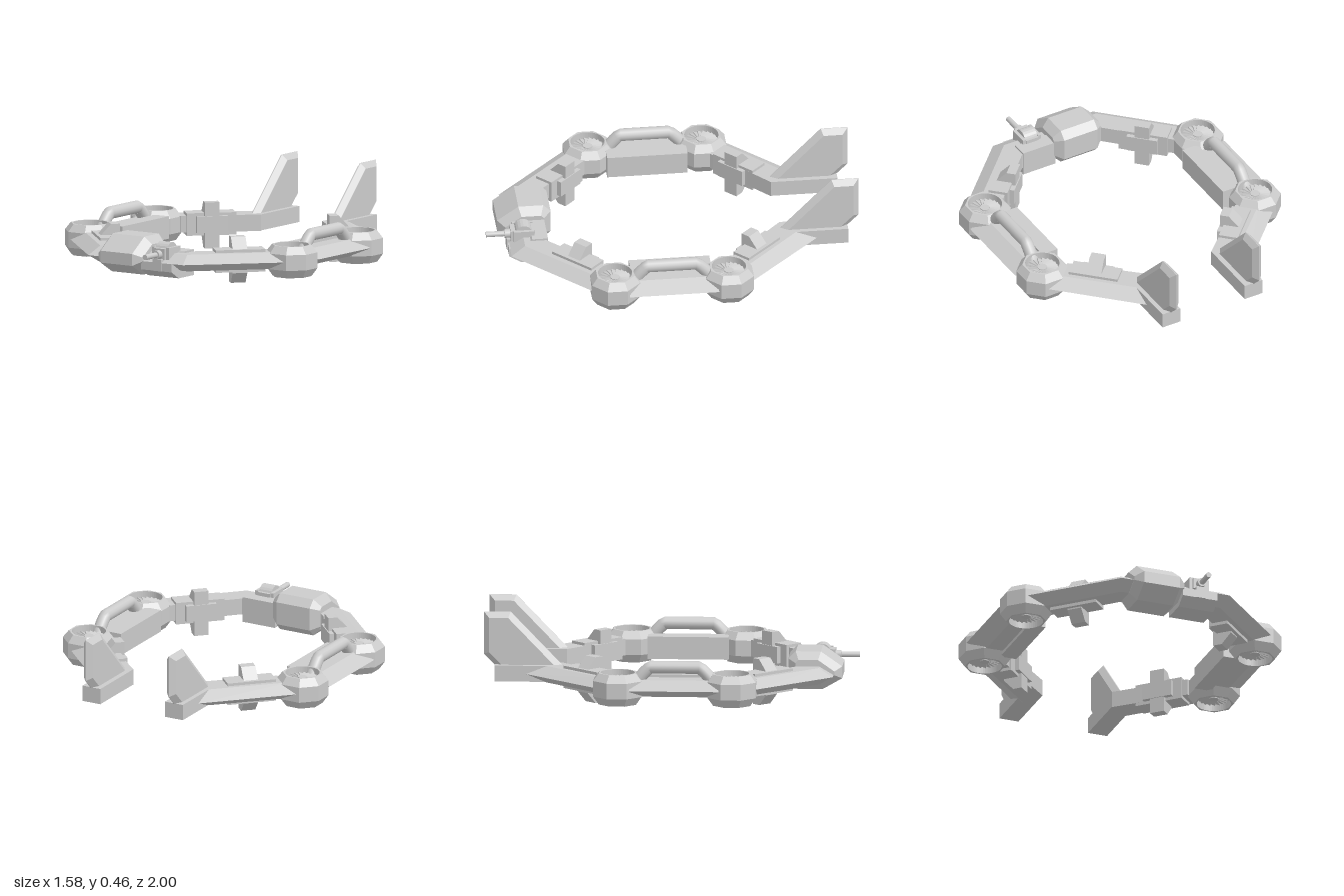
import * as THREE from 'three';
import { ConvexGeometry } from 'three/addons/geometries/ConvexGeometry.js';

const flat = new THREE.MeshStandardMaterial({ color: 0xcccccc, flatShading: true, side: THREE.DoubleSide });
const smooth = new THREE.MeshStandardMaterial({ color: 0xcccccc });

function add(parent, name, geometry, x = 0, y = 0, z = 0, material = flat) {
  const mesh = new THREE.Mesh(geometry, material);
  mesh.name = name;
  mesh.position.set(x, y, z);
  parent.add(mesh);
  return mesh;
}

function box(parent, name, x0, x1, y0, y1, z0, z1) {
  return add(parent, name, new THREE.BoxGeometry(x1 - x0, y1 - y0, z1 - z0),
    (x0 + x1) / 2, (y0 + y1) / 2, (z0 + z1) / 2);
}

const outline = (pts) => new THREE.Shape(pts.map(([a, b]) => new THREE.Vector2(a, b)));

// Side profile of [z, y] points, given a width along x and an optional chamfer
function profile(pts, width, chamferIn = 0, chamferSide = 0) {
  const geo = new THREE.ExtrudeGeometry(outline(pts), {
    depth: width - 2 * chamferSide, bevelEnabled: chamferIn > 0, bevelSegments: 1,
    bevelSize: chamferIn, bevelOffset: -chamferIn, bevelThickness: chamferSide,
  });
  geo.translate(0, 0, chamferSide - width / 2);
  return geo.rotateY(-Math.PI / 2);
}

// Ring beam: sharp outer ridge, flat top and bottom, upright inner wall.
// Each end is [ridgeX, ridgeZ, innerX, innerZ].
function beam(parent, name, ...ends) {
  const pts = [];
  for (const [rx, rz, ix, iz] of ends) {
    for (const [t, y] of [[0, 0.13], [0.38, 0.175], [1, 0.175], [1, 0.085], [0.38, 0.085]]) {
      pts.push(new THREE.Vector3(rx + (ix - rx) * t, y, rz + (iz - rz) * t));
    }
  }
  add(parent, name, new ConvexGeometry(pts));
}

// Chamfered octagonal pod with an open duct and two rows of fan blades
function liftPod(parent, x, z) {
  const pod = new THREE.Group();
  pod.name = 'liftPod';
  pod.position.set(x, 0, z);
  parent.add(pod);
  const k = 1 / Math.cos(Math.PI / 8);
  const wall = [[0.1, 0.04], [0.13, 0.085], [0.13, 0.17], [0.1, 0.21]];
  const shell = new THREE.LatheGeometry(wall.map(([r, y]) => new THREE.Vector2(r * k, y)), 8);
  add(pod, 'podShell', shell.rotateY(Math.PI / 8));

  const corners = [];
  for (let i = 0; i < 8; i++) {
    const a = (i + 0.5) * Math.PI / 4;
    corners.push([0.1 * k * Math.cos(a), 0.1 * k * Math.sin(a)]);
  }
  const ring = outline(corners);
  ring.holes.push(new THREE.Path().absarc(0, 0, 0.092, 0, Math.PI * 2, true));
  const duct = new THREE.ExtrudeGeometry(ring, { depth: 0.17, bevelEnabled: false, curveSegments: 24 });
  add(pod, 'duct', duct.rotateX(-Math.PI / 2), 0, 0.04, 0);

  add(pod, 'fanHub', new THREE.CylinderGeometry(0.026, 0.026, 0.12, 16), 0, 0.125, 0, smooth);
  for (const y of [0.075, 0.175]) {
    for (let i = 0; i < 20; i++) {
      const blade = new THREE.BoxGeometry(0.064, 0.005, 0.024);
      blade.rotateX(0.4).translate(0.053, 0, 0).rotateY(i * Math.PI / 10);
      add(pod, 'fanBlade', blade, 0, y, 0);
    }
  }
}

// Plates and wedge clamp; local +x runs from the beam's ridge to the inside
function clamp(parent, x, z) {
  const g = new THREE.Group();
  g.name = 'clamp';
  g.position.set(x, 0, z);
  g.rotation.y = Math.atan2(Math.sign(z), -Math.sign(x));
  parent.add(g);
  box(g, 'longPlate', 0.1, 0.205, 0.068, 0.19, -0.135, 0.135);
  box(g, 'innerPlate', 0.15, 0.23, 0.085, 0.175, -0.085, 0.085);
  const wedge = new THREE.ExtrudeGeometry(outline([
    [0.225, 0], [0.225, 0.25], [0.175, 0.25], [0.12, 0.19], [0.12, 0.06], [0.175, 0],
  ]), { depth: 0.08, bevelEnabled: false });
  add(g, 'clampWedge', wedge, 0, 0, -0.04);
}

function side(parent, s) {
  const g = new THREE.Group();
  g.name = s > 0 ? 'leftSide' : 'rightSide';
  parent.add(g);
  const end = (a, b, c, d) => [s * a, b, s * c, d];

  // Ring beams
  beam(g, 'rearBeam', end(0.31, -0.77, 0.2, -0.58), end(0.7, -0.38, 0.52, -0.285));
  beam(g, 'sideBeam', end(0.79, -0.19, 0.55, -0.145), end(0.79, 0.295, 0.55, 0.25));
  beam(g, 'frontBeam', end(0.7, 0.49, 0.53, 0.39), end(0.31, 0.88, 0.245, 0.68));
  const inner = s * 0.56;
  box(g, 'sidePlate', inner - 0.047, inner + 0.047, 0.068, 0.19, -0.165, 0.27);

  liftPod(g, s * 0.66, -0.255);
  liftPod(g, s * 0.66, 0.36);
  clamp(g, s * 0.54, -0.54);
  clamp(g, s * 0.545, 0.645);

  // Arched pipe between the pods
  const path = new THREE.CurvePath();
  const p = [[0.14, 0.265], [0.19, 0.245], [0.24, 0.185], [0.24, -0.08], [0.19, -0.14], [0.14, -0.16]]
    .map(([y, z]) => new THREE.Vector3(s * 0.66, y, z));
  path.add(new THREE.QuadraticBezierCurve3(p[0], p[1], p[2]));
  path.add(new THREE.LineCurve3(p[2], p[3]));
  path.add(new THREE.QuadraticBezierCurve3(p[3], p[4], p[5]));
  add(g, 'pipe', new THREE.TubeGeometry(path, 32, 0.034, 14), 0, 0, 0, smooth);

  // Tail boom and knife-edged fin
  const boom = [[0.2, -0.94], [0.31, -0.94], [0.31, -0.64], [0.2, -0.58]];
  const boomPts = boom.flatMap(([x, z]) => [0.088, 0.175].map((y) => new THREE.Vector3(s * x, y, z)));
  add(g, 'tailBoom', new ConvexGeometry(boomPts));
  add(g, 'tailFin', profile([
    [-0.57, 0.165], [-0.855, 0.46], [-1, 0.46], [-1, 0.23], [-0.935, 0.165], [-0.935, 0.1], [-0.6, 0.1],
  ], 0.056, 0.03, 0.026), s * 0.257);
}

export function createModel() {
  const model = new THREE.Group();
  model.name = 'ringCraft';
  side(model, 1);
  side(model, -1);
  beam(model, 'noseBeam', [-0.31, 0.88, -0.245, 0.68], [0.31, 0.88, 0.245, 0.68]);

  // Off-centre cabin with chamfered ends
  add(model, 'cabin', profile([
    [0.675, 0.25], [0.81, 0.25], [0.925, 0.17], [0.925, 0.105],
    [0.82, 0.045], [0.675, 0.045], [0.635, 0.085], [0.635, 0.21],
  ], 0.29, 0.04, 0.042), -0.095);

  // Gun bay beside the cabin
  add(model, 'gunBay', profile([
    [0.675, 0.185], [0.76, 0.185], [0.79, 0.15], [0.885, 0.13], [0.885, 0.085], [0.82, 0.045], [0.675, 0.045],
  ], 0.2, 0, 0), 0.14);

  // Gun turret
  const turret = new THREE.Group();
  turret.name = 'turret';
  turret.position.set(0.145, 0, 0);
  model.add(turret);
  box(turret, 'turretFoot', -0.028, 0.028, 0.085, 0.15, 0.76, 0.89);
  box(turret, 'turretBlock', -0.038, 0.038, 0.145, 0.205, 0.74, 0.87);
  const drum = new THREE.CylinderGeometry(0.048, 0.048, 0.076, 20).rotateZ(Math.PI / 2);
  add(turret, 'turretDrum', drum, 0, 0.187, 0.8);
  for (const s of [-1, 1]) box(turret, 'turretCheek', s * 0.047 - 0.009, s * 0.047 + 0.009, 0.145, 0.21, 0.745, 0.855);
  const barrel = (r, z0, z1) => add(turret, 'barrel',
    new THREE.CylinderGeometry(r, r, z1 - z0, 14).rotateX(Math.PI / 2), 0, 0.173, (z0 + z1) / 2, smooth);
  barrel(0.024, 0.84, 0.9);
  barrel(0.015, 0.88, 1);
  return model;
}
